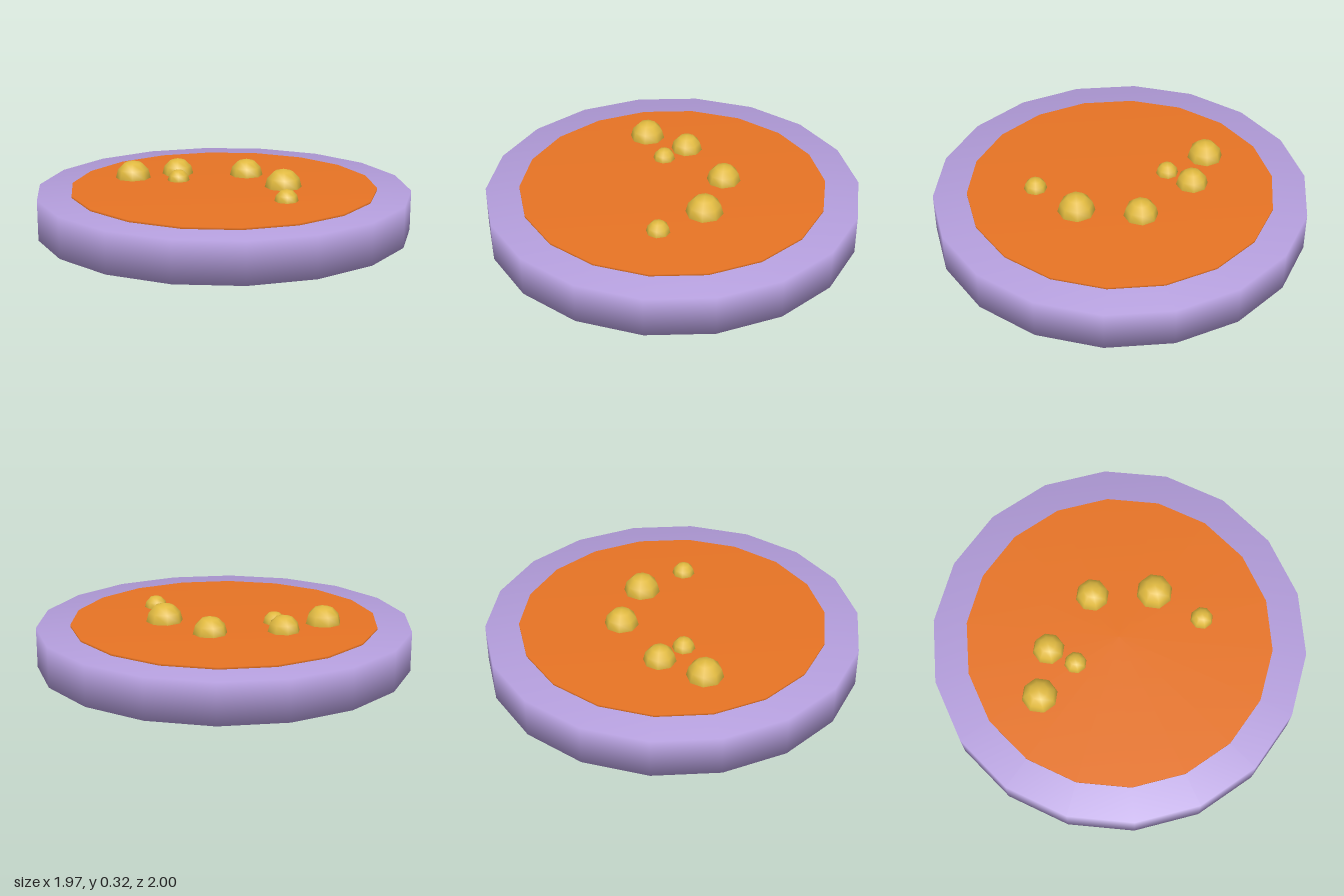
import * as THREE from 'three';
import { mergeVertices } from 'three/addons/utils/BufferGeometryUtils.js';

// Weld a geometry so its shading runs softly over all edges
function soften(geometry) {
  geometry.deleteAttribute('normal');
  geometry.deleteAttribute('uv');
  const welded = mergeVertices(geometry, 1e-4);
  welded.computeVertexNormals();
  return welded;
}

export function createModel() {
  const group = new THREE.Group();
  const material = (name, color) => {
    const m = new THREE.MeshStandardMaterial({ color });
    m.name = name;
    return m;
  };
  const lilac = material('lilac', 0xb39ddb);
  const orange = material('orange', 0xe67324);
  const yellow = material('yellow', 0xe0b93f);

  // Eighteen-sided disc resting between two heights
  const disc = (name, radius, bottom, top, mat) => {
    const geometry = soften(new THREE.CylinderGeometry(radius, radius, top - bottom, 18));
    const mesh = new THREE.Mesh(geometry, mat);
    mesh.name = name;
    mesh.position.y = (bottom + top) / 2;
    group.add(mesh);
  };
  disc('dish', 1, 0, 0.215, lilac);
  disc('filling', 0.82, 0.205, 0.226, orange);

  // Round lumps half sunk into the filling: x, z, radius
  const lumps = [
    [-0.215, -0.485, 0.096], [0.025, -0.38, 0.086], [-0.085, -0.26, 0.06],
    [0.265, -0.08, 0.091], [0.2, 0.25, 0.099], [-0.01, 0.455, 0.062],
  ];
  for (const [x, z, radius] of lumps) {
    const lump = new THREE.Mesh(new THREE.SphereGeometry(radius, 8, 6), yellow);
    lump.name = 'lump';
    lump.position.set(x, 0.226, z);
    group.add(lump);
  }
  return group;
}
